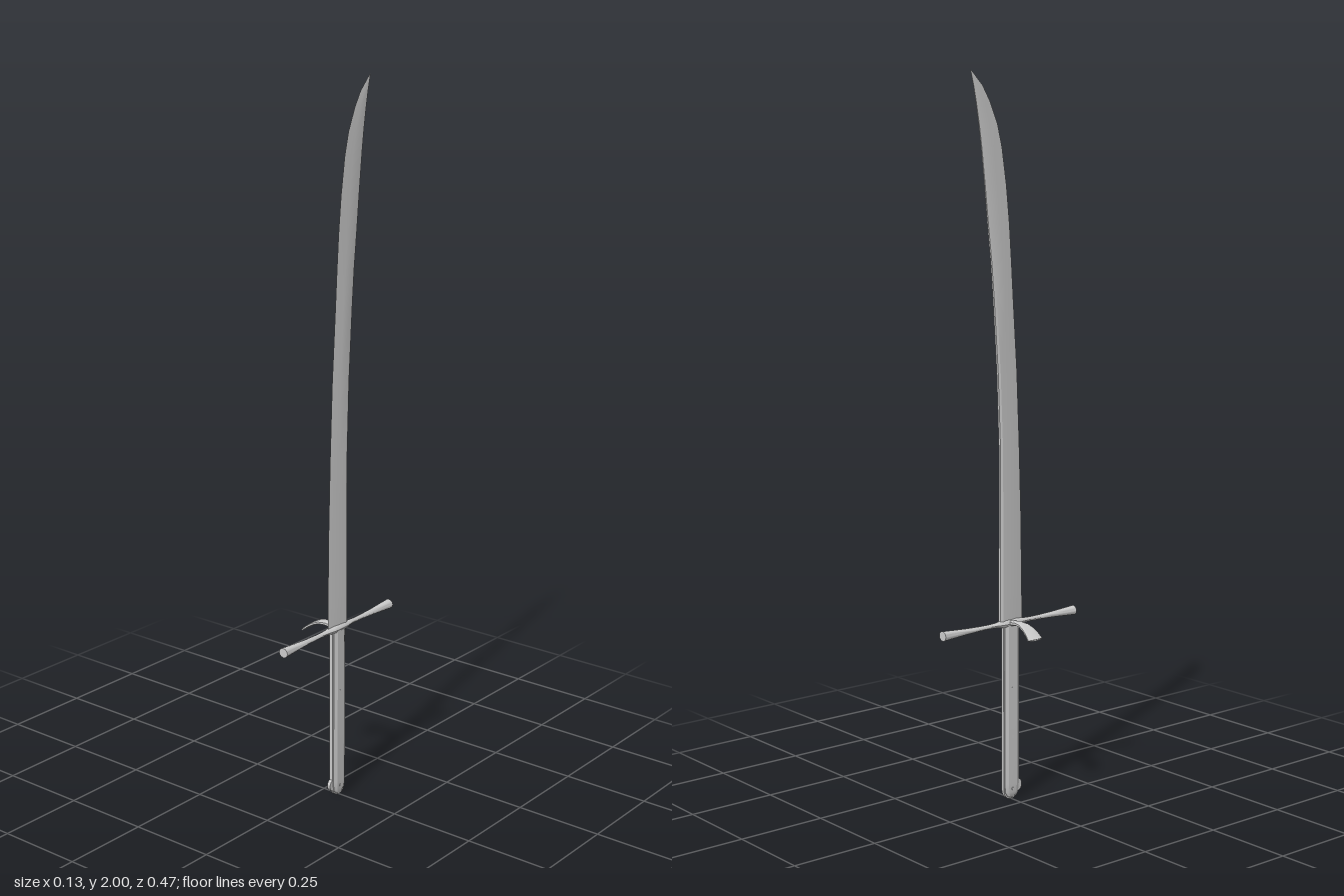
import * as THREE from 'three';
import { toCreasedNormals } from 'three/addons/utils/BufferGeometryUtils.js';

const CX = 0.048; // plane of the blade
const steel = new THREE.MeshStandardMaterial({ color: 0xcccccc, side: THREE.DoubleSide });

// Skin a list of equal-length rings of [x, y, z] points, with flat end caps
function loft(name, rings, crease = 0.6) {
  const n = rings[0].length, pos = rings.flat(2), idx = [];
  for (let r = 0; r < rings.length - 1; r++) {
    for (let i = 0; i < n; i++) {
      const a = r * n + i, b = r * n + (i + 1) % n;
      idx.push(a, b, b + n, a, b + n, a + n);
    }
  }
  const last = (rings.length - 1) * n;
  for (let i = 1; i < n - 1; i++) idx.push(0, i + 1, i, last, last + i, last + i + 1);

  // Turn the faces outward when the enclosed volume is negative
  const v = i => new THREE.Vector3().fromArray(pos, i * 3);
  let volume = 0;
  for (let i = 0; i < idx.length; i += 3) volume += v(idx[i]).dot(v(idx[i + 1]).cross(v(idx[i + 2])));
  if (volume < 0) idx.reverse();

  const geo = new THREE.BufferGeometry();
  geo.setAttribute('position', new THREE.Float32BufferAttribute(pos, 3));
  geo.setIndex(idx);
  const mesh = new THREE.Mesh(toCreasedNormals(geo, crease), steel);
  mesh.name = name;
  return mesh;
}

// Curved single-edged blade: [y, edge z, spine z, half thickness]
function makeBlade() {
  const stations = [
    [0.5, 0.044, -0.036, 0.007], [0.6, 0.043, -0.036, 0.007], [0.8, 0.04, -0.035, 0.0065],
    [1.0, 0.034, -0.035, 0.006], [1.2, 0.026, -0.042, 0.0055], [1.4, 0.013, -0.055, 0.005],
    [1.5, 0.007, -0.063, 0.0045], [1.6, 0, -0.074, 0.004], [1.7, -0.01, -0.084, 0.0035],
    [1.8, -0.025, -0.095, 0.003], [1.86, -0.04, -0.103, 0.0025], [1.92, -0.066, -0.113, 0.002],
    [1.96, -0.09, -0.121, 0.0015], [2.0, -0.129, -0.131, 0.0005],
  ];
  return loft('blade', stations.map(([y, e, s, t]) => {
    const z = f => s + (e - s) * f;
    return [
      [CX, y, z(1)], [CX + t * 0.75, y, z(0.55)], [CX + t, y, z(0.1)], [CX + t * 0.6, y, z(0)],
      [CX - t * 0.6, y, z(0)], [CX - t, y, z(0.1)], [CX - t * 0.75, y, z(0.55)],
    ];
  }), 0.35);
}

// Crossguard with flared round ends and a swollen middle: [z, half width, half height]
function makeGuard() {
  const half = [
    [0.02, 0.0135, 0.0115], [0.03, 0.0125, 0.01], [0.05, 0.0085, 0.007], [0.075, 0.0068, 0.006],
    [0.11, 0.0072, 0.0065], [0.15, 0.009, 0.008], [0.19, 0.0115, 0.0105], [0.234, 0.0145, 0.0135],
  ];
  const stations = [...half.map(([z, w, h]) => [-z, w, h]).reverse(), ...half];
  return loft('crossguard', stations.map(([z, w, h]) =>
    Array.from({ length: 12 }, (_, i) => {
      const a = i / 12 * Math.PI * 2;
      return [CX + Math.cos(a) * w, 0.503 + Math.sin(a) * h, z];
    })));
}

// Side guard: a curved, widening tongue: [x, y, half width, half thickness]
function makeSideGuard() {
  const path = [
    [0.048, 0.503, 0.008, 0.008], [0.03, 0.505, 0.0095, 0.007], [0.01, 0.508, 0.012, 0.006],
    [-0.01, 0.507, 0.0155, 0.005], [-0.03, 0.499, 0.019, 0.0045], [-0.047, 0.488, 0.022, 0.004],
    [-0.06, 0.476, 0.025, 0.003],
  ];
  return loft('sideGuard', path.map(([x, y, w, t], k) => {
    const p = path[Math.max(k - 1, 0)], q = path[Math.min(k + 1, path.length - 1)];
    const len = Math.hypot(q[0] - p[0], q[1] - p[1]);
    const nx = -(q[1] - p[1]) / len, ny = (q[0] - p[0]) / len;
    const bulge = k === path.length - 1 ? 0.005 : 0; // rounded outer end
    const at = (f, s) => [x + nx * t * s - bulge * (1 - f * f), y + ny * t * s, w * f];
    return [at(-1, 0.5), at(-0.5, 1), at(0, 1), at(0.5, 1), at(1, 0.5),
      at(1, -0.5), at(0.5, -1), at(0, -1), at(-0.5, -1), at(-1, -0.5)];
  }));
}

// Full tang between the scales, with a small beak at the foot
function makeTang() {
  const s = new THREE.Shape();
  s.moveTo(0.029, 0.5);
  s.lineTo(0.029, 0.052);
  s.quadraticCurveTo(0.04, 0.048, 0.039, 0.032);
  s.quadraticCurveTo(0.036, 0.02, 0.026, 0.018);
  s.quadraticCurveTo(0.018, 0, 0, 0);
  s.quadraticCurveTo(-0.024, 0, -0.026, 0.03);
  s.lineTo(-0.026, 0.5);
  const geo = new THREE.ExtrudeGeometry(s, { depth: 0.01, bevelEnabled: false, curveSegments: 6 });
  geo.rotateY(-Math.PI / 2); // profile into the yz plane
  geo.translate(CX + 0.005, 0, 0);
  const mesh = new THREE.Mesh(toCreasedNormals(geo, 0.6), steel);
  mesh.name = 'tang';
  return mesh;
}

// Bevelled grip scale on one side: [y, front z, back z, height above the tang]
function makeScale(side) {
  const stations = [
    [0.5, 0.027, -0.024, 0.009], [0.25, 0.026, -0.024, 0.0085], [0.045, 0.027, -0.024, 0.008],
    [0.02, 0.024, -0.021, 0.007], [0.009, 0.016, -0.014, 0.005], [0.004, 0.007, -0.006, 0.002],
  ];
  const section = [[1, 0], [1, 0.4], [0.78, 1], [0.22, 1], [0, 0.4], [0, 0]];
  return loft(side > 0 ? 'gripScaleLeft' : 'gripScaleRight', stations.map(([y, f, b, h]) =>
    section.map(([u, v]) => [CX + side * (0.004 + h * v), y, b + (f - b) * u])), 0.4);
}

export function createModel() {
  const model = new THREE.Group();
  model.name = 'sword';
  const hilt = new THREE.Group();
  hilt.name = 'hilt';
  hilt.add(makeTang(), makeScale(1), makeScale(-1), makeGuard(), makeSideGuard());

  // Pins through the scales
  for (const y of [0.03, 0.18, 0.32, 0.46]) {
    const pin = new THREE.Mesh(new THREE.CylinderGeometry(0.004, 0.004, 0.026, 10), steel);
    pin.name = 'gripPin';
    pin.rotation.z = Math.PI / 2;
    pin.position.set(CX, y, 0.001);
    hilt.add(pin);
  }
  model.add(makeBlade(), hilt);
  return model;
}
